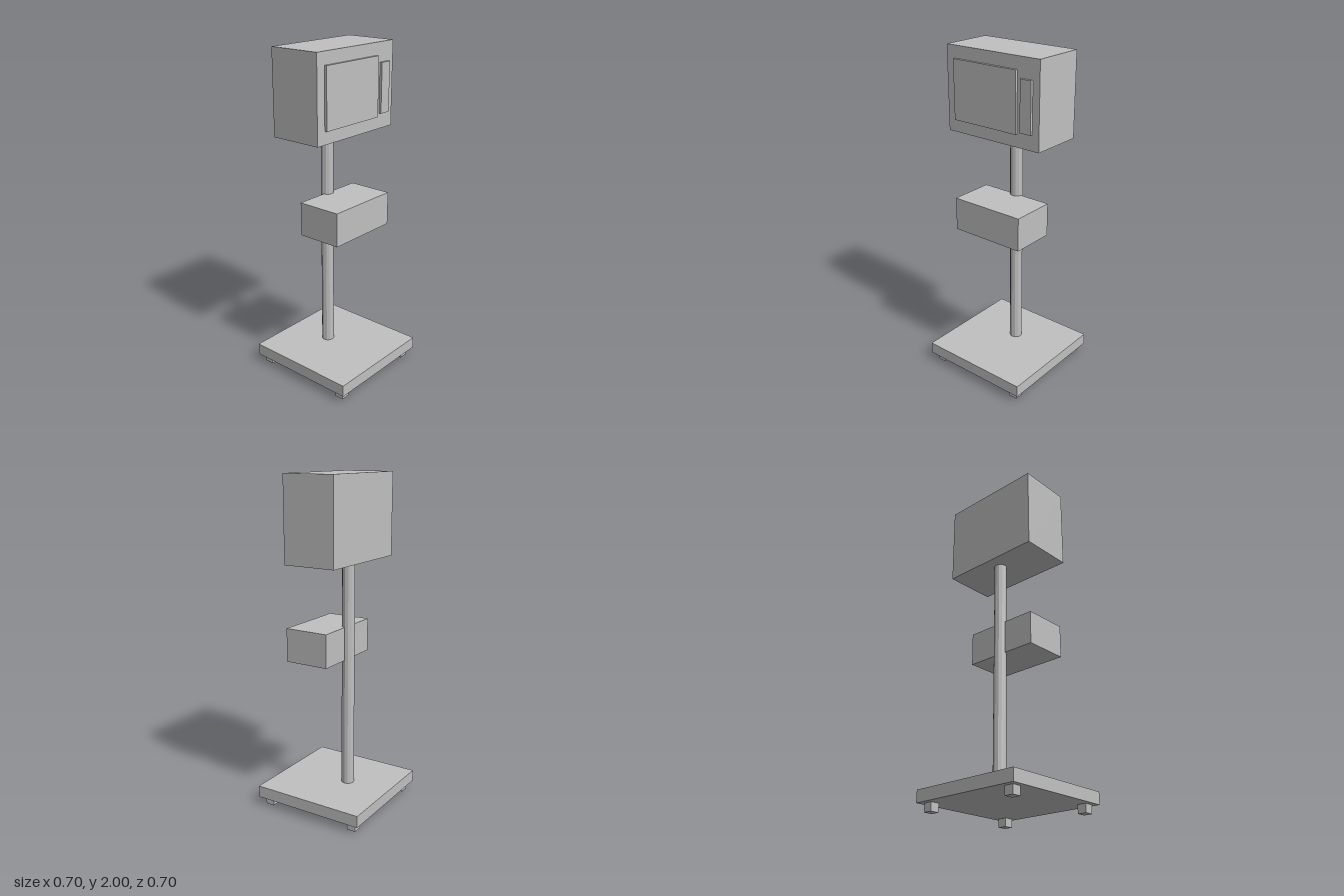
import * as THREE from 'three';

export function createModel() {
  const model = new THREE.Group();
  model.name = 'pedestalTerminal';
  const grey = new THREE.MeshStandardMaterial({ color: 0xc0c0c0, flatShading: true });
  grey.name = 'light grey';

  // Box given by its minimum and maximum on each axis
  function addBox(name, [x0, x1], [y0, y1], [z0, z1]) {
    const mesh = new THREE.Mesh(new THREE.BoxGeometry(x1 - x0, y1 - y0, z1 - z0), grey);
    mesh.position.set((x0 + x1) / 2, (y0 + y1) / 2, (z0 + z1) / 2);
    mesh.name = name;
    model.add(mesh);
  }

  // Base plate on four square feet
  addBox('basePlate', [-0.352, 0.352], [0.05, 0.122], [-0.352, 0.352]);
  for (const x of [-0.293, 0.293]) {
    for (const z of [-0.293, 0.293]) {
      addBox('foot', [x - 0.0275, x + 0.0275], [0, 0.05], [z - 0.0275, z + 0.0275]);
    }
  }

  // Faceted pole, set back from the centre
  const pole = new THREE.Mesh(new THREE.CylinderGeometry(0.038, 0.038, 1.385, 12), grey);
  pole.position.set(0, 0.8125, -0.073);
  pole.name = 'pole';
  model.add(pole);

  // Box mounted on the front of the pole
  addBox('middleBox', [-0.235, 0.235], [0.917, 1.118], [-0.07, 0.204]);

  // Head cabinet with a screen and a narrow control panel
  addBox('headCabinet', [-0.323, 0.323], [1.505, 2], [-0.178, 0.145]);
  addBox('screen', [-0.265, 0.176], [1.58, 1.928], [0.145, 0.16]);
  addBox('controlPanel', [0.205, 0.278], [1.595, 1.887], [0.145, 0.16]);

  return model;
}
